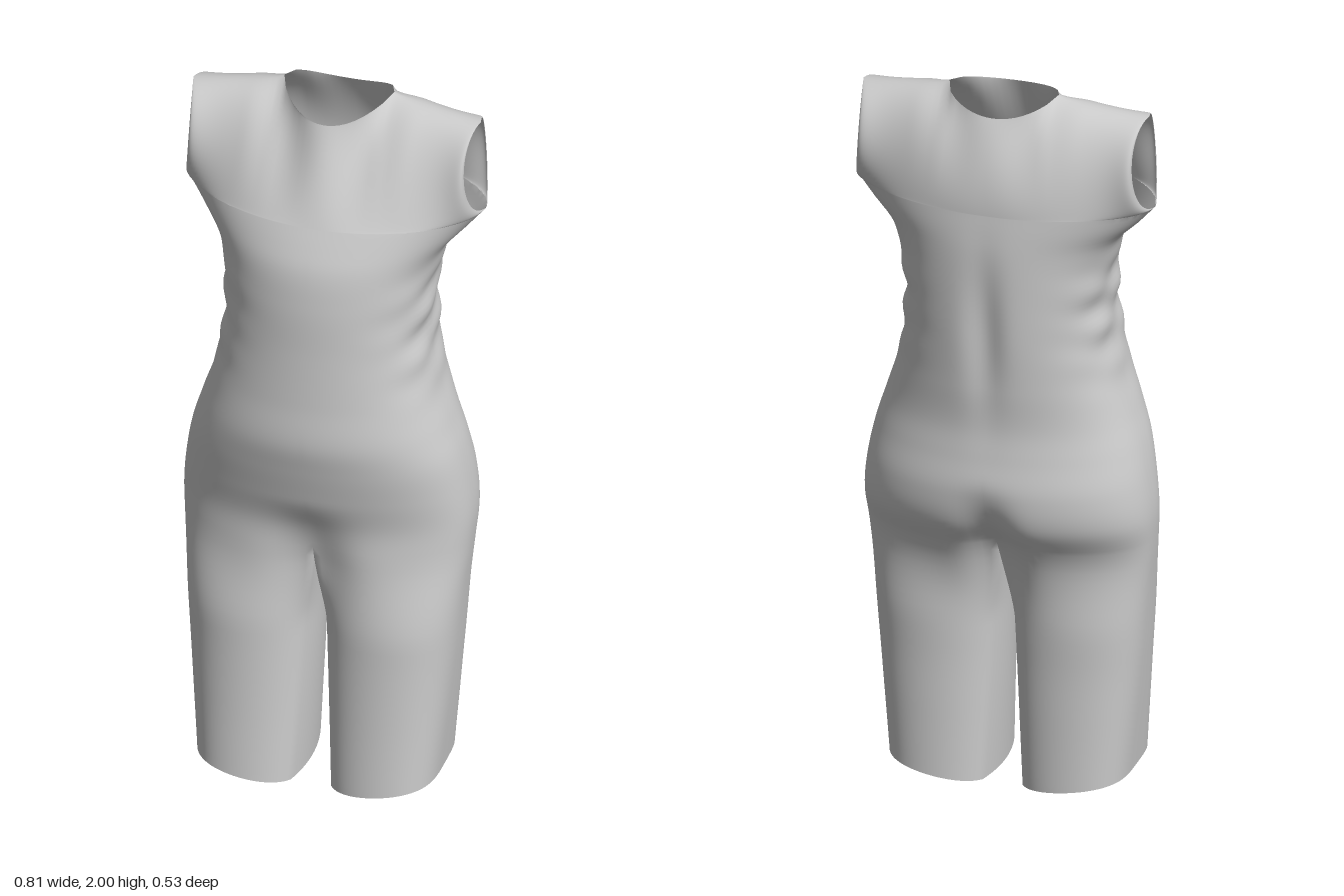
import * as THREE from 'three';
import { mergeVertices } from 'three/addons/utils/BufferGeometryUtils.js';

const CROTCH = 0.72, ARMPIT = 1.705, TOP_W = 0.39, NECK = TOP_W * Math.sin(Math.PI / 8);
const { lerp, clamp, smoothstep } = THREE.MathUtils;
const bell = (x, mid, width) => Math.exp(-(((x - mid) / width) ** 2));

// Cross-sections: height, half width, front z, back z, side z, roundness exponent
const sections = [
  [0.0, 0.325, 0.238, -0.152, 0.04, 0.52],
  [0.2, 0.342, 0.224, -0.15, 0.03, 0.6],
  [0.4, 0.358, 0.215, -0.15, 0.02, 0.68],
  [0.6, 0.375, 0.212, -0.163, 0.01, 0.75],
  [0.7, 0.385, 0.21, -0.19, 0, 0.8],
  [0.8, 0.39, 0.208, -0.25, -0.01, 0.8],
  [0.9, 0.38, 0.23, -0.265, -0.01, 0.8],
  [1.0, 0.36, 0.252, -0.252, 0, 0.8],
  [1.08, 0.335, 0.265, -0.244, 0, 0.8],
  [1.2, 0.297, 0.256, -0.252, 0, 0.75],
  [1.35, 0.273, 0.246, -0.262, -0.01, 0.75],
  [1.5, 0.28, 0.238, -0.264, -0.03, 0.8],
  [1.6, 0.31, 0.222, -0.262, -0.04, 0.9],
  [1.66, 0.365, 0.197, -0.257, -0.055, 1.05],
  [ARMPIT, 0.405, 0.175, -0.252, -0.06, 1.15],
];
const profile = new THREE.CubicInterpolant(
  sections.map((s) => s[0]), sections.flatMap((s) => s.slice(1)), 5);

const legSplit = (y) => 1 - smoothstep(y, 0.46, CROTCH);   // 0 = one body, 1 = separate leg
const legGap = (y) => 0.035 * Math.max(0, 1 - y / CROTCH) ** 1.3;

// Body and leg surface below the armpits; u runs from the centre line to the side
function lowerPoint(u, y, front) {
  const [W, zf, zb, zc, e] = profile.evaluate(y);
  const depth = (front ? zf : zb) - zc;
  const a = u * Math.PI / 2;
  const k = legSplit(y), gap = legGap(y);
  const r = (W - gap) / 2;
  const phi = lerp(-Math.PI / 3, Math.PI / 2, u);
  let x = lerp(W * Math.sin(a), gap + r + r * Math.sin(phi), k);
  const round = (t) => Math.max(0, Math.cos(t)) ** e;
  let z = zc + depth * lerp(round(a), round(phi), k);

  // Groin and seat cleft, spine hollow
  const cleft = front
    ? -0.055 * (1 - smoothstep(y, 0.66, 0.9)) * bell(x, 0, 0.1)
    : 0.055 * (1 - smoothstep(y, 0.7, 0.95)) * bell(x, 0, 0.065);
  z += cleft * (1 - k);
  if (!front) z += 0.022 * bell(x, 0, 0.045) * bell(y, 1.36, 0.2);

  // Cloth folds at the sides of the waist
  const side = Math.min(1, x / W) ** 4 * bell(y, 1.4, 0.17);
  x += side * (0.005 * Math.sin(y * 58 + z * 14) + 0.004 * Math.sin(y * 37 - z * 22));

  // Slanted hem
  const tilt = 0.045 * clamp((x - gap) / (W - gap), 0, 1) * Math.max(0, 1 - y / 0.4);
  return new THREE.Vector3(x, y + tilt, z);
}

// Chest and shoulder panel from the armpit level (t = 0) to neck and shoulder line (t = 1)
function upperPoint(u, t, front) {
  const v = (1 - Math.cos(Math.PI * t)) / 2;
  const bow = Math.sin(Math.PI * t);
  const base = lowerPoint(u, ARMPIT, front);
  const s = Math.sin(u * Math.PI / 2);
  const x = s * (lerp(0.405, TOP_W, v) - 0.024 * bow);
  const xt = s * TOP_W;
  const across = Math.min(1, xt / NECK);
  const out = Math.max(0, (xt - NECK) / (TOP_W - NECK));
  const yTop = 1.955 + 0.045 * across ** 2 - 0.037 * out ** 0.7;

  // Neck opening, softening into the panel below it
  const edge = Math.max(0, 1 - across ** 2) ** (front ? 0.75 : 0.5);
  const rim = lerp(bell(xt, 0, 0.12), edge, v ** 4);
  const zTop = lerp(-0.08, -0.06, out) + (front ? 0.14 : -0.1) * rim;

  // Rounded over the shoulder, straighter below the neck
  const q = lerp(1, 0.5, smoothstep(s, 0.15, 0.6));
  const fall = (1 - v ** (front ? 1 : 2)) ** q;
  const z = zTop + (base.z - zTop) * fall + (front ? 0.1 : -0.1) * s ** 6 * bow;
  return new THREE.Vector3(x, lerp(ARMPIT, yTop, v), z);
}

// Inner leg wall joining the front and back strips
function innerPoint(w, y) {
  const p = lowerPoint(0, y, true).lerp(lowerPoint(0, y, false), w);
  const r = (profile.evaluate(y)[0] - legGap(y)) / 2;
  p.x -= legSplit(y) * 4 * w * (1 - w) * r * 0.134;
  return p;
}

export function createModel() {
  const positions = [], index = [];

  function addGrid(nu, nv, point, flip) {
    for (const side of [1, -1]) {
      const start = positions.length / 3;
      for (let j = 0; j <= nv; j++) {
        for (let i = 0; i <= nu; i++) {
          const p = point(i / nu, j / nv);
          positions.push(p.x * side, p.y, p.z);
        }
      }
      for (let j = 0; j < nv; j++) {
        for (let i = 0; i < nu; i++) {
          const a = start + j * (nu + 1) + i, b = a + 1, c = a + nu + 1, d = c + 1;
          if ((side < 0) !== flip) index.push(a, c, b, b, c, d);
          else index.push(a, b, c, b, d, c);
        }
      }
    }
  }

  for (const front of [true, false]) {
    addGrid(32, 24, (u, v) => lowerPoint(u, v * CROTCH, front), !front);
    addGrid(32, 64, (u, v) => lowerPoint(u, lerp(CROTCH, ARMPIT, v), front), !front);
    addGrid(32, 24, (u, v) => upperPoint(u, v, front), !front);
  }
  addGrid(16, 24, (w, v) => innerPoint(w, v * CROTCH), true);

  // Weld all panels so shading runs smoothly across the seams
  let cloth = new THREE.BufferGeometry();
  cloth.setAttribute('position', new THREE.Float32BufferAttribute(positions, 3));
  cloth.setIndex(index);
  cloth = mergeVertices(cloth, 1e-4);
  cloth.computeVertexNormals();

  // Divide the welded cloth at the crotch into torso and legs
  const pos = cloth.attributes.position, idx = cloth.index.array;
  const parts = { torso: [], legs: [] };
  for (let i = 0; i < idx.length; i += 3) {
    const tri = [idx[i], idx[i + 1], idx[i + 2]];
    const y = tri.reduce((sum, n) => sum + pos.getY(n), 0) / 3;
    parts[y < CROTCH ? 'legs' : 'torso'].push(...tri);
  }

  const group = new THREE.Group();
  group.name = 'sleevelessBodysuit';
  const material = new THREE.MeshStandardMaterial({ color: 0xcccccc, side: THREE.DoubleSide });
  for (const [name, triangles] of Object.entries(parts)) {
    const geometry = new THREE.BufferGeometry();
    geometry.setAttribute('position', pos);
    geometry.setAttribute('normal', cloth.attributes.normal);
    geometry.setIndex(triangles);
    const mesh = new THREE.Mesh(geometry, material);
    mesh.name = name;
    group.add(mesh);
  }
  return group;
}
